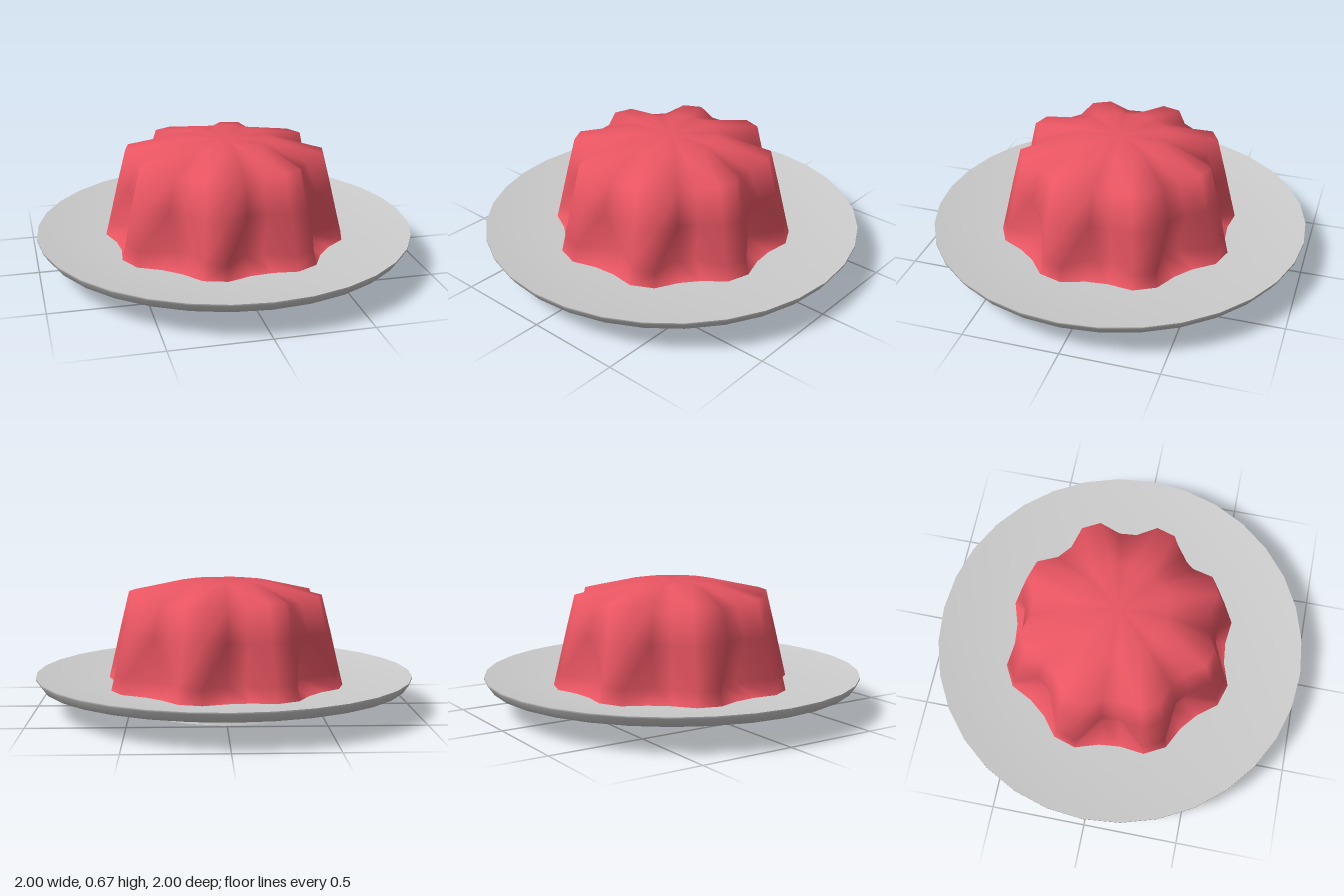
import * as THREE from 'three';

const SIDES = 32;

// Point on the fluted outline: angle runs from the back towards +x.
function polar(i, r, y) {
  const t = (i / SIDES) * Math.PI * 2;
  return [Math.sin(t) * r, y, -Math.cos(t) * r];
}

// Each of the eight flutes takes four steps: two on the lobe, two in the groove.
const isLobe = (i) => i % 4 === 1 || i % 4 === 2;

// Skin a stack of rings; each ring has a lobe [radius, height] and a groove [radius, height].
function flutedSkin(rings) {
  const pos = [], index = [];
  for (const { lobe, groove } of rings) {
    for (let i = 0; i < SIDES; i++) pos.push(...polar(i, ...(isLobe(i) ? lobe : groove)));
  }
  for (let j = 0; j < rings.length - 1; j++) {
    for (let i = 0; i < SIDES; i++) {
      const a = j * SIDES + i, b = j * SIDES + ((i + 1) % SIDES);
      const c = a + SIDES, d = b + SIDES;
      // Split each quad along the diagonal that mirrors across the flute
      if (i % 4 < 2) index.push(a, c, b, b, c, d);
      else index.push(a, d, b, a, c, d);
    }
  }
  const g = new THREE.BufferGeometry();
  g.setAttribute('position', new THREE.Float32BufferAttribute(pos, 3));
  g.setIndex(index);
  g.computeVertexNormals();
  return g;
}

// Turn a list of [radius, height] pairs into a round surface.
const lathe = (points) =>
  new THREE.LatheGeometry(points.map(([r, y]) => new THREE.Vector2(r, y)), SIDES);

export function createModel() {
  const group = new THREE.Group();
  const grey = new THREE.MeshStandardMaterial({ color: 0xcccccc });
  const red = new THREE.MeshStandardMaterial({ color: 0xe85562 });
  const add = (name, geometry, material, parent) => {
    const mesh = new THREE.Mesh(geometry, material);
    mesh.name = name;
    parent.add(mesh);
    return mesh;
  };

  // Plate: flared foot, sloping underside, thin rim and a shallow dished top
  const plate = new THREE.Group();
  plate.name = 'plate';
  group.add(plate);
  add('plateUnderside', lathe([[0.47, 0], [0.43, 0.045], [0.97, 0.135], [1, 0.178], [1, 0.187]]), grey, plate);
  add('plateDish', lathe([[1, 0.187], [0.64, 0.132], [0, 0.13]]), grey, plate);
  const base = add('plateBase', new THREE.CircleGeometry(0.47, SIDES), grey, plate);
  base.rotation.x = Math.PI / 2;

  // Jelly: straight tapering lobes; the grooves tuck in low down, then flare to the dish
  add('jelly', flutedSkin([
    { lobe: [0.637, 0.133], groove: [0.585, 0.133] },
    { lobe: [0.618, 0.21], groove: [0.46, 0.19] },
    { lobe: [0.568, 0.42], groove: [0.515, 0.42] },
    { lobe: [0.52, 0.61], groove: [0.46, 0.585] },
    { lobe: [0.24, 0.673], groove: [0.24, 0.672] },
    { lobe: [0, 0.673], groove: [0, 0.673] },
  ]), red, group);

  return group;
}
